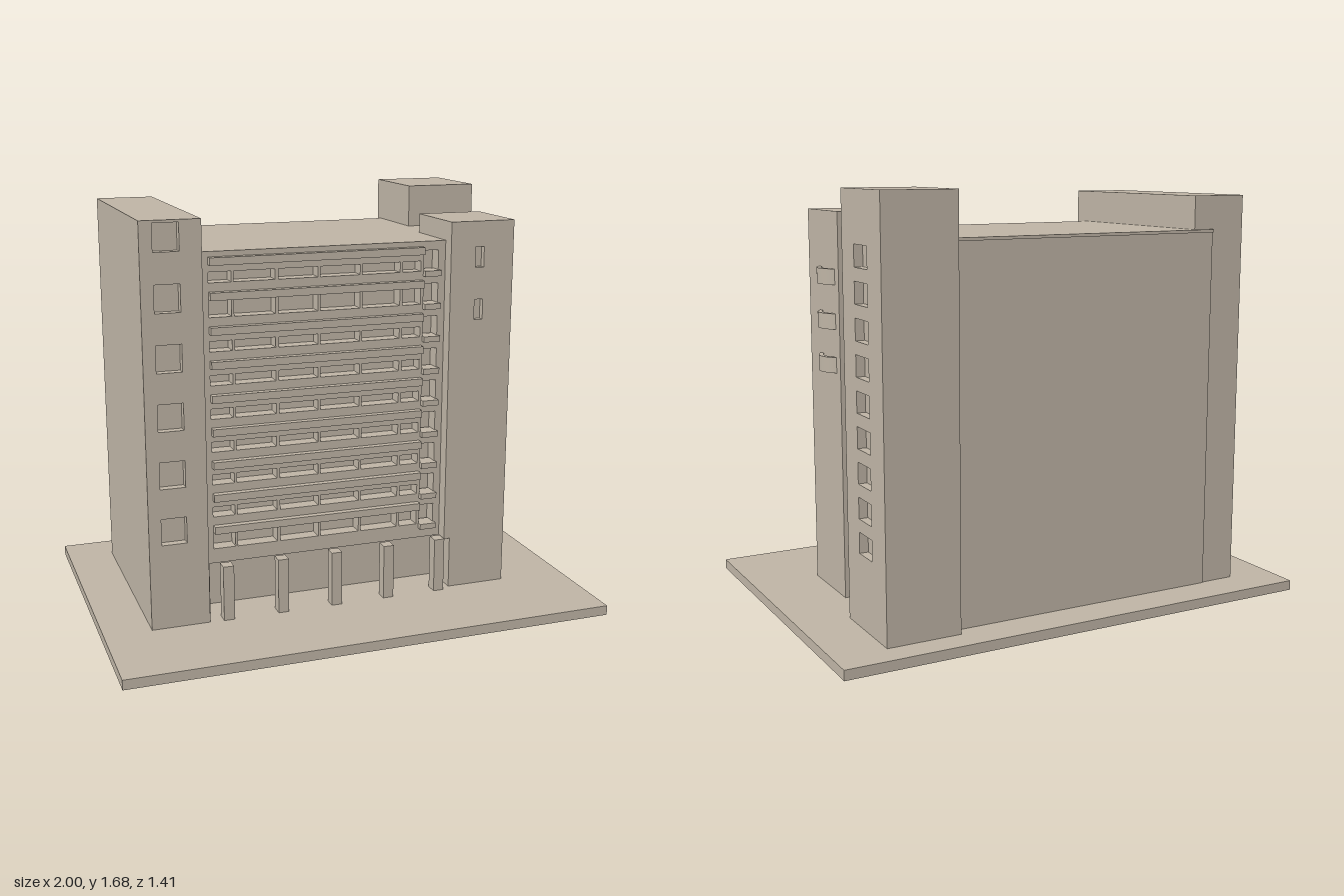
import * as THREE from 'three';

export function createModel() {
  const model = new THREE.Group();
  model.name = 'towerBlock';
  const stone = new THREE.MeshStandardMaterial({ color: 0xbdb3a4 });
  stone.name = 'warm stone';

  function add(name, geometry, parent = model) {
    const mesh = new THREE.Mesh(geometry, stone);
    mesh.name = name;
    parent.add(mesh);
    return mesh;
  }

  // Box given by its limits on each axis
  function box(name, x0, x1, y0, y1, z0, z1, parent) {
    const g = new THREE.BoxGeometry(x1 - x0, y1 - y0, z1 - z0);
    g.translate((x0 + x1) / 2, (y0 + y1) / 2, (z0 + z1) / 2);
    return add(name, g, parent);
  }

  function trace(path, [u0, u1, v0, v1]) {
    path.moveTo(u0, v0);
    path.lineTo(u1, v0);
    path.lineTo(u1, v1);
    path.lineTo(u0, v1);
    path.closePath();
    return path;
  }

  // Wall layer with rectangular openings, limits are [u0, u1, v0, v1]
  function pierced(outline, holes, depth) {
    const shape = trace(new THREE.Shape(), outline);
    shape.holes = holes.map((h) => trace(new THREE.Path(), h));
    return new THREE.ExtrudeGeometry(shape, { depth, bevelEnabled: false });
  }

  function frontWall(name, outline, holes, z, depth) {
    add(name, pierced(outline, holes, depth).translate(0, 0, z - depth));
  }

  // Side wall facing +x, limits are given in z and y
  function sideWall(name, outline, holes, x, depth) {
    const flip = ([z0, z1, y0, y1]) => [-z1, -z0, y0, y1];
    const g = pierced(flip(outline), holes.map(flip), depth);
    add(name, g.rotateY(Math.PI / 2).translate(x - depth, 0, 0));
  }

  const floors = 9;
  const step = 0.1337;
  const ground = 0.04;
  const soffit = 0.257;

  box('basePlate', -1, 1, 0, ground, -0.705, 0.705);

  // Long slab tower on the right of the facade as seen from inside
  box('longTower', -0.81, -0.575, ground, 1.64, -0.545, 0.29);
  const longHoles = [];
  for (let i = 0; i < 6; i++) {
    const y = 1.63 - i * 0.2275;
    longHoles.push([-0.76, -0.66, y - 0.107, y]);
  }
  frontWall('longTowerFront', [-0.81, -0.575, ground, 1.64], longHoles, 0.325, 0.035);

  // Main block with a recessed ground floor
  box('mainBlock', -0.66, 0.615, soffit, 1.495, -0.55, 0.19);
  box('groundFloor', -0.66, 0.615, ground, soffit, -0.55, 0.15);
  box('groundFloorPier', -0.6, -0.555, ground, soffit, 0.1, 0.25);
  box('roofSlab', -0.66, 0.648, 1.495, 1.507, -0.557, 0.253);

  // Main facade: window rows, ledges and the balcony strip
  const columns = [
    [-0.535, -0.445], [-0.435, -0.27], [-0.257, -0.095],
    [-0.085, 0.08], [0.09, 0.25], [0.262, 0.34],
  ];
  const facadeHoles = [];
  const ledges = new THREE.Group();
  ledges.name = 'ledges';
  const balconies = new THREE.Group();
  balconies.name = 'smallBalconies';
  model.add(ledges, balconies);
  for (let i = 0; i < floors; i++) {
    const drop = i * step;
    const top = (i === 1 || i === 8 ? 1.457 : 1.428) - drop;
    for (const [x0, x1] of columns) facadeHoles.push([x0, x1, 1.387 - drop, top]);
    facadeHoles.push([0.352, 0.415, 1.367 - drop, 1.47 - drop]);
    box('ledge', -0.535, 0.345, 1.456 - drop, 1.486 - drop, 0.24, 0.278, ledges);
    box('balconySill', 0.35, 0.42, 1.367 - drop, 1.39 - drop, 0.2, 0.272, balconies);
  }
  frontWall('mainFacade', [-0.58, 0.46, soffit, 1.495], facadeHoles, 0.25, 0.06);

  // Free-standing columns in front of the entrance
  for (let i = 0; i < 5; i++) {
    const x = -0.497 + i * 0.2275;
    box('entranceColumn', x - 0.022, x + 0.022, ground, 0.267, 0.28, 0.33);
  }

  // Side walls with stacked windows
  const sideHoles = [];
  const rearHoles = [];
  for (let i = 0; i < floors; i++) {
    const y = 1.483 - i * step;
    sideHoles.push([-0.098, -0.008, y - 0.083, y], [-0.25, -0.165, y - 0.083, y]);
    rearHoles.push([-0.47, -0.35, y - 0.083, y]);
  }
  sideWall('middleSideWall', [-0.3, 0.05, ground, 1.495], sideHoles, 0.645, 0.03);

  // Tall rear tower
  box('rearTower', 0.49, 0.755, ground, 1.68, -0.595, -0.235);
  sideWall('rearTowerSide', [-0.595, -0.235, ground, 1.68], rearHoles, 0.79, 0.035);

  // Front corner tower, notched beside the entrance
  box('cornerTowerFoot', 0.47, 0.72, ground, soffit, -0.015, 0.305);
  box('cornerTower', 0.445, 0.72, soffit, 1.585, -0.015, 0.28);
  frontWall('cornerTowerFront', [0.445, 0.72, soffit, 1.585],
    [[0.553, 0.59, 1.4, 1.483], [0.553, 0.59, 1.187, 1.27]], 0.305, 0.025);

  // Curved balcony rails on the corner tower
  const half = 0.803;
  const arc = new THREE.Shape();
  arc.absarc(0, 0, 0.1147, -half, half, false);
  arc.absarc(0, 0, 0.096, half, -half, true);
  arc.closePath();
  for (const y of [1.3, 1.125, 0.952]) {
    const g = new THREE.ExtrudeGeometry(arc, { depth: 0.062, bevelEnabled: false, curveSegments: 12 });
    g.rotateX(-Math.PI / 2).translate(0.6403, y, 0.1075);
    add('curvedBalcony', g);
  }

  return model;
}
